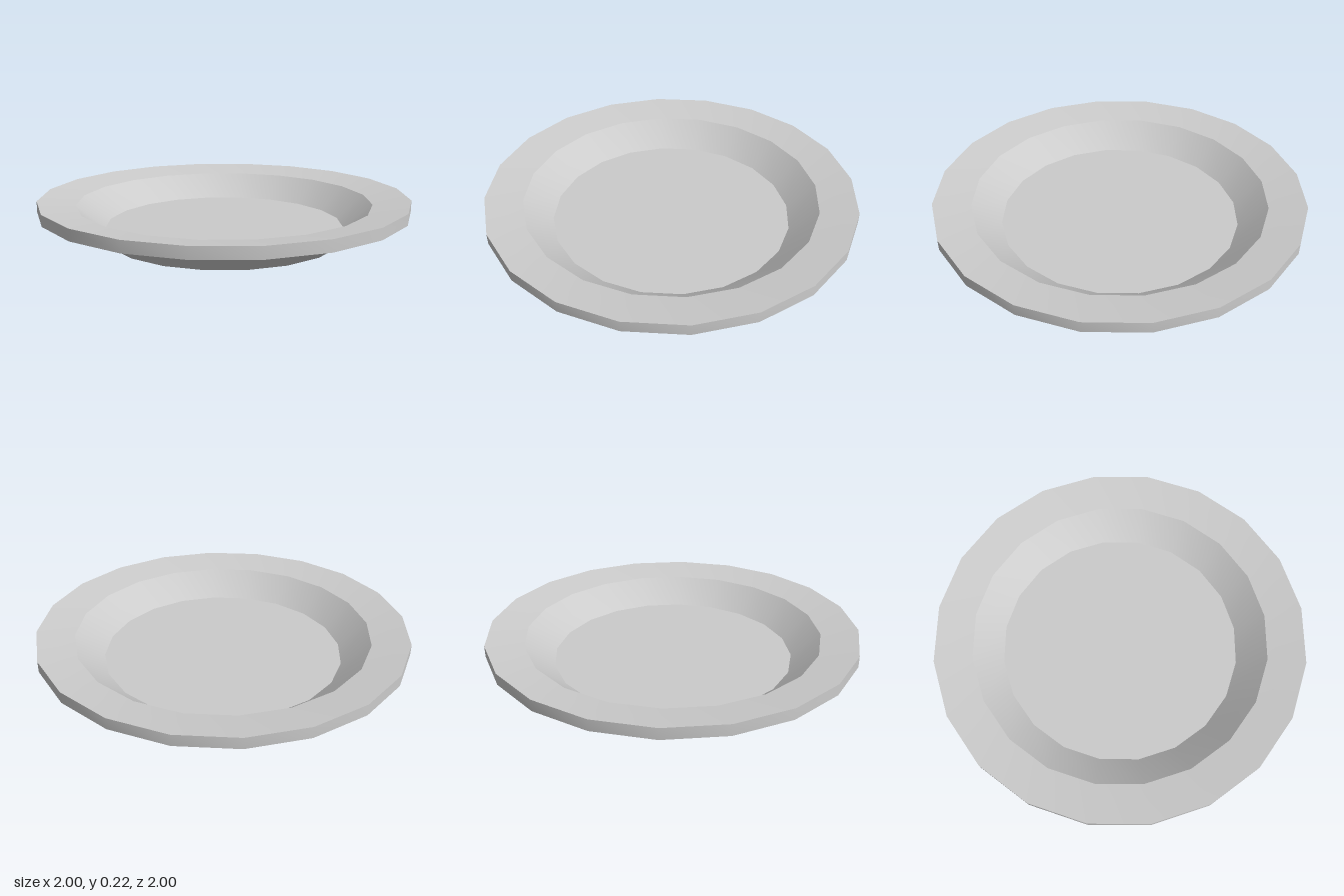
import * as THREE from 'three';
import { toCreasedNormals } from 'three/addons/utils/BufferGeometryUtils.js';

const SIDES = 20;

export function createModel() {
  const group = new THREE.Group();
  group.name = 'plate';

  // Closed profile: underside, outer wall, brim edge, then back over the top
  const profile = [
    [0, 0], [0.65, 0], [0.8, 0.13], [1, 0.16],
    [1, 0.22], [0.8, 0.19], [0.65, 0.06], [0, 0.06],
  ].map(([r, y]) => new THREE.Vector2(r, y));

  // Smooth around the rings, sharp between the bands
  const geometry = toCreasedNormals(
    new THREE.LatheGeometry(profile, SIDES),
    THREE.MathUtils.degToRad(25),
  );
  const dish = new THREE.Mesh(geometry, new THREE.MeshStandardMaterial({ color: 0xcccccc }));
  dish.name = 'dish';
  group.add(dish);

  return group;
}
